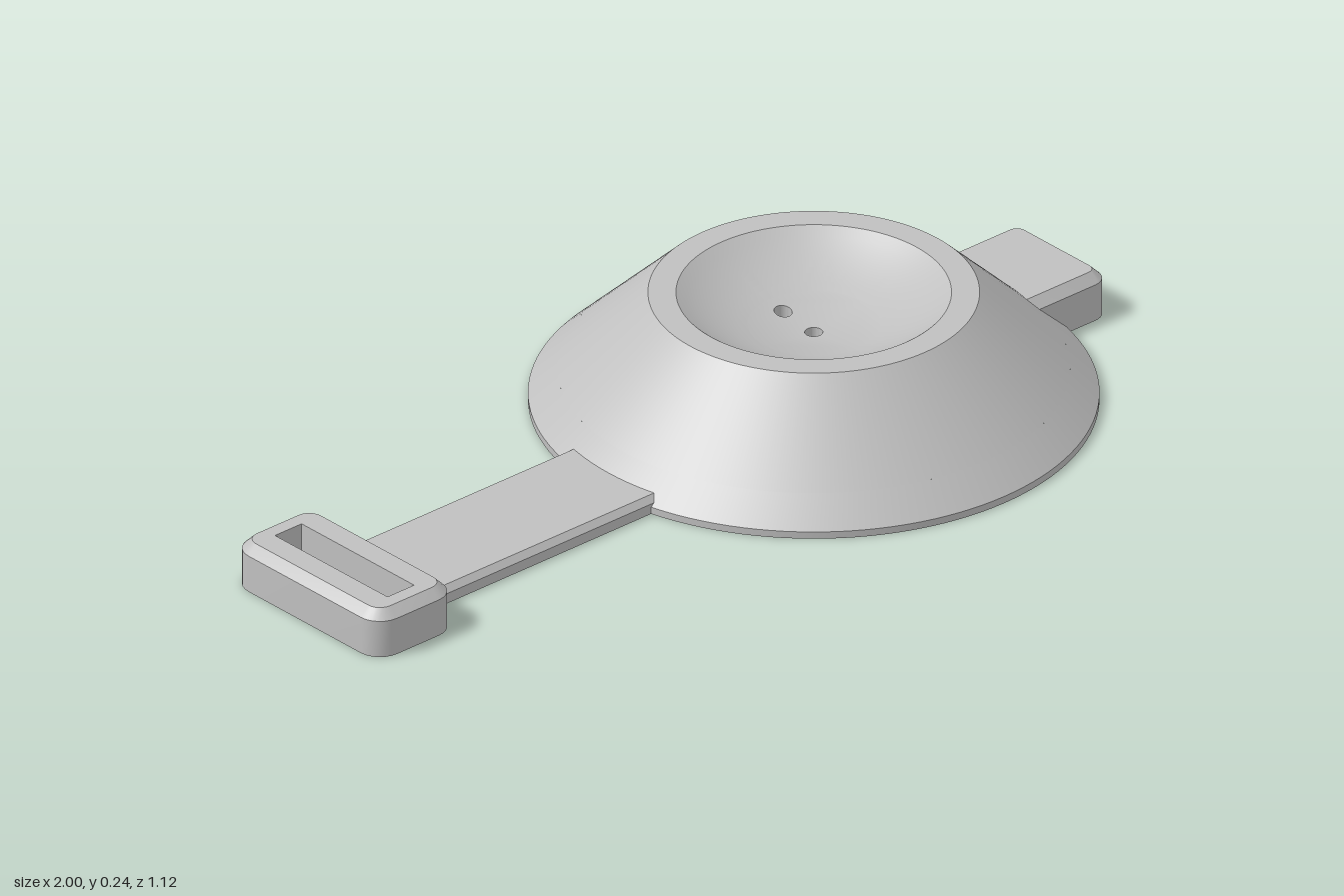
import * as THREE from 'three';
import { toCreasedNormals } from 'three/addons/utils/BufferGeometryUtils.js';

const V2 = (x, y) => new THREE.Vector2(x, y);

// Plan contours are counter-clockwise in (x, -z).
function arc(cx, cy, r, a0, a1, n) {
  const pts = [];
  for (let i = 0; i <= n; i++) {
    const a = a0 + (a1 - a0) * i / n;
    pts.push(V2(cx + r * Math.cos(a), cy + r * Math.sin(a)));
  }
  return pts;
}
const circle = (cx, cy, r, n = 32) => arc(cx, cy, r, 0, Math.PI * 2, n).slice(0, n);
const rect = (x0, x1, y0, y1) => [V2(x1, y1), V2(x0, y1), V2(x0, y0), V2(x1, y0)];
function roundRect(x0, x1, y0, y1, r) {
  const q = Math.PI / 2;
  return [
    ...arc(x1 - r, y1 - r, r, 0, q, 6), ...arc(x0 + r, y1 - r, r, q, 2 * q, 6),
    ...arc(x0 + r, y0 + r, r, 2 * q, 3 * q, 6), ...arc(x1 - r, y0 + r, r, 3 * q, 4 * q, 6),
  ];
}

// Places a plan contour at a height, or at a height given by a rule.
const at = (pts, y) => pts.map(p => new THREE.Vector3(p.x, typeof y === 'function' ? y(p) : y, -p.y));

// Joins rings into a surface: rising rings face outward, falling rings inward.
function skin(rings, closed = true) {
  const pos = [], n = rings[0].length;
  for (let k = 0; k < rings.length - 1; k++) {
    for (let i = 0; i < (closed ? n : n - 1); i++) {
      const j = (i + 1) % n;
      const a = rings[k][i], b = rings[k][j], c = rings[k + 1][j], d = rings[k + 1][i];
      for (const p of [a, b, c, a, c, d]) pos.push(p.x, p.y, p.z);
    }
  }
  const g = new THREE.BufferGeometry();
  g.setAttribute('position', new THREE.Float32BufferAttribute(pos, 3));
  return toCreasedNormals(g, 0.5);
}

function flat(pts, holes = []) {
  const s = new THREE.Shape(pts);
  s.holes = holes.map(h => new THREE.Path(h));
  return new THREE.ShapeGeometry(s);
}

// Horizontal face, looking up or down.
function cap(pts, y, up, holes) {
  const g = flat(pts, holes).rotateX(-Math.PI / 2).translate(0, y, 0);
  if (!up) {
    g.index.array.reverse();
    g.computeVertexNormals();
  }
  return g;
}

export function createModel() {
  const model = new THREE.Group();
  const grey = new THREE.MeshStandardMaterial({ color: 0xc0c0c0 });
  grey.name = 'plain grey';
  const group = (name, x = 0) => {
    const g = new THREE.Group();
    g.name = name;
    g.position.x = x;
    model.add(g);
    return g;
  };
  const add = (parent, name, geo) => {
    const m = new THREE.Mesh(geo, grey);
    m.name = name;
    parent.add(m);
  };

  const TAU = Math.PI * 2, R = 0.56;
  const body = group('body', 0.34);

  // Conical housing with a spherical bowl in its top
  const bowlY = r => 0.60 - Math.sqrt(0.45 * 0.45 - r * r);
  const bowlAt = p => bowlY(p.length());
  const split = 0.07, rSplit = 0.5026, gap = 0.2;
  const skirt = [[R, 0], [R, 0.015], [rSplit, split]];
  add(body, 'skirt', skin(skirt.map(([r, y]) => at(arc(0, 0, r, gap, TAU - gap, 120), y)), false));
  const profile = [[rSplit, split], [0.325, 0.24], [0.27, 0.24]];
  for (const r of [0.25, 0.23, 0.21, 0.19, 0.17, 0.15, 0.13]) profile.push([r, bowlY(r)]);
  add(body, 'coneRimAndBowl', skin(profile.map(([r, y]) => at(circle(0, 0, r, 128), y))));

  // Bowl floor with two through holes
  const drains = [circle(0, 0, 0.018, 24), circle(0, 0.09, 0.018, 24)];
  const floor = cap(circle(0, 0, 0.13, 128), 0, true, drains);
  const p = floor.attributes.position;
  for (let i = 0; i < p.count; i++) {
    const x = p.getX(i), z = p.getZ(i), y = bowlY(Math.hypot(x, z));
    p.setY(i, y);
    floor.attributes.normal.setXYZ(i, -x / 0.45, (0.60 - y) / 0.45, -z / 0.45);
  }
  add(body, 'bowlFloor', floor);
  for (const d of drains) add(body, 'throughHole', skin([at(d, bowlAt), at(d, 0.055)]));

  // Socket tab with rounded, chamfered outer end
  const tabOutline = e => [
    V2(0.42, -0.135 + e), ...arc(0.62, -0.095, 0.04 - e, -Math.PI / 2, 0, 8),
    ...arc(0.62, 0.095, 0.04 - e, 0, Math.PI / 2, 8), V2(0.42, 0.135 - e),
  ];
  const tab = tabOutline(0), tabTop = tabOutline(0.02), half = tab.length / 2;
  for (const side of [tab.slice(0, half), tab.slice(half)]) {
    add(body, 'tabSide', skin([at(side, 0), at(side, 0.08)], false));
  }
  add(body, 'tabChamfer', skin([at(tab, 0.08), at(tabTop, 0.1)], false));
  add(body, 'tabTop', cap(tabTop, 0.1, true));

  // Socket opening through the tab's end
  const port = rect(-0.05, 0.05, 0.015, 0.065);
  add(body, 'tabEnd', flat(rect(-0.095, 0.095, 0, 0.08), [port]).rotateY(Math.PI / 2).translate(0.66, 0, 0));
  add(body, 'slotEnd', flat(rect(-0.08, 0.08, 0, 0.068), [port]).rotateY(-Math.PI / 2).translate(0.595, 0, 0));
  add(body, 'portTunnel', skin([0.66, 0.595].map(x => port.map(q => new THREE.Vector3(x, q.y, -q.x)))));

  // Underside: two slots joined to a round recess by narrow channels
  const rc = 0.116, w = Math.asin(0.03 / rc), q = Math.PI / 2;
  const cableSlot = [V2(0.595, 0.08), V2(0.22, 0.08), V2(0.22, -0.08), V2(0.595, -0.08)];
  const boardSlot = rect(-0.17, 0.17, 0.17, 0.41);
  const recess = circle(0, 0, rc, 48);
  const channels = [
    V2(0.595, 0.08), V2(0.22, 0.08), V2(0.22, 0.03), ...arc(0, 0, rc, w, q - w, 10),
    V2(0.03, 0.17), V2(0.17, 0.17), V2(0.17, 0.41), V2(-0.17, 0.41), V2(-0.17, 0.17), V2(-0.03, 0.17),
    ...arc(0, 0, rc, q + w, TAU - w, 36), V2(0.22, -0.03), V2(0.22, -0.08), V2(0.595, -0.08),
  ];
  add(body, 'channelWalls', skin([at(channels, 0.04), at(channels, 0)], false));
  add(body, 'cableSlotWalls', skin([at(cableSlot, 0.068), at(cableSlot, 0.04)], false));
  add(body, 'cableSlotCeiling', cap(cableSlot, 0.068, false));
  add(body, 'boardSlotWalls', skin([at(boardSlot, 0.068), at(boardSlot, 0.04)]));
  add(body, 'boardSlotCeiling', cap(boardSlot, 0.068, false));
  add(body, 'recessWall', skin([at(recess, 0.055), at(recess, 0.04)]));
  add(body, 'recessCeiling', cap(recess, 0.055, false, drains));
  add(body, 'cableChannelCeiling', cap(rect(0.112, 0.22, -0.03, 0.03), 0.04, false));
  add(body, 'boardChannelCeiling', cap(rect(-0.03, 0.03, 0.112, 0.17), 0.04, false));

  // Four shallow round foot pockets
  const feet = [];
  for (const sx of [-1, 1]) for (const sz of [-1, 1]) {
    const c = circle(sx * 0.304, sz * 0.304, 0.054);
    feet.push(c);
    add(body, 'footPocketWall', skin([at(c, 0.025), at(c, 0)]));
    add(body, 'footPocketCeiling', cap(c, 0.025, false));
  }
  const wide = Math.asin(0.135 / R);
  const outline = [...arc(0, 0, R, wide, TAU - wide, 120), ...tab.slice(1, -1)];
  add(body, 'underside', cap(outline, 0, false, [channels, ...feet]));

  // Flat strap with chamfered upper edges
  const section = new THREE.Shape([
    V2(-0.13, 0), V2(0.13, 0), V2(0.13, 0.022), V2(0.118, 0.035), V2(-0.118, 0.035), V2(-0.13, 0.022),
  ]);
  const strap = new THREE.ExtrudeGeometry(section, { depth: 0.69, bevelEnabled: false });
  add(model, 'strap', strap.rotateY(Math.PI / 2).translate(-0.84, 0, 0));

  // Buckle end with a blind slot
  const buckle = group('buckle', -0.895);
  const outer = roundRect(-0.105, 0.105, -0.215, 0.215, 0.05);
  const inner = roundRect(-0.085, 0.085, -0.195, 0.195, 0.03);
  const slot = rect(-0.035, 0.035, -0.165, 0.165);
  add(buckle, 'buckleSides', skin([at(outer, 0), at(outer, 0.08), at(inner, 0.1)]));
  add(buckle, 'buckleTop', cap(inner, 0.1, true, [slot]));
  add(buckle, 'buckleBottom', cap(outer, 0, false));
  add(buckle, 'buckleSlotWalls', skin([at(slot, 0.1), at(slot, 0.035)]));
  add(buckle, 'buckleSlotFloor', cap(slot, 0.035, true));

  return model;
}
